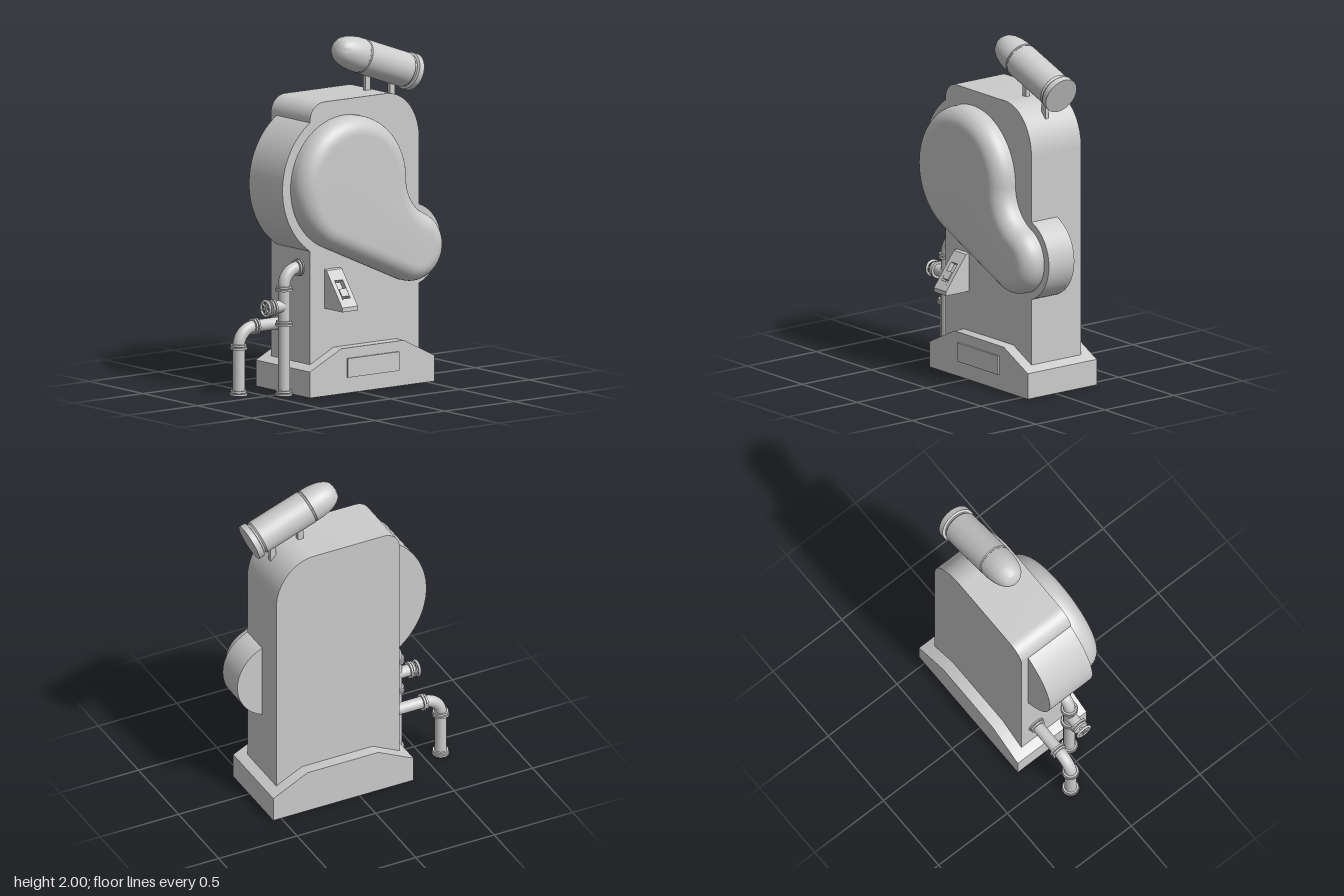
import * as THREE from 'three';
import { toCreasedNormals } from 'three/addons/utils/BufferGeometryUtils.js';

const V = (x, y, z) => new THREE.Vector3(x, y, z);

export function createModel() {
  const model = new THREE.Group();
  const mat = new THREE.MeshStandardMaterial({ color: 0xcccccc, side: THREE.DoubleSide });

  const add = (name, geo, parent = model) => {
    const mesh = new THREE.Mesh(geo, mat);
    mesh.name = name;
    parent.add(mesh);
    return mesh;
  };
  const group = (name, parent = model) => {
    const g = new THREE.Group();
    g.name = name;
    parent.add(g);
    return g;
  };
  const box = (name, x0, x1, y0, y1, z0, z1, parent) =>
    add(name, new THREE.BoxGeometry(x1 - x0, y1 - y0, z1 - z0), parent)
      .position.set((x0 + x1) / 2, (y0 + y1) / 2, (z0 + z1) / 2);

  // Side profile drawn in (-z, y), extruded along x from x0 to x1
  const slab = (name, shape, x0, x1, parent, bevel = 0) => {
    const geo = new THREE.ExtrudeGeometry(shape, {
      depth: x1 - x0 - 2 * bevel, curveSegments: 32, bevelEnabled: bevel > 0,
      bevelThickness: bevel, bevelSize: bevel, bevelOffset: -bevel, bevelSegments: 10,
    });
    geo.translate(0, 0, bevel).rotateY(Math.PI / 2).translate(x0, 0, 0);
    return add(name, toCreasedNormals(geo, 0.6), parent);
  };
  const polygon = (points) => new THREE.Shape(points.map(([z, y]) => new THREE.Vector2(-z, y)));

  // Straight round bar between two points
  const rod = (name, a, b, r, parent, sides = 24) => {
    const dir = b.clone().sub(a);
    const mesh = add(name, new THREE.CylinderGeometry(r, r, dir.length(), sides), parent);
    mesh.position.copy(a).add(b).multiplyScalar(0.5);
    mesh.quaternion.setFromUnitVectors(V(0, 1, 0), dir.normalize());
    return mesh;
  };

  // Base with sloped ends and a side plate
  slab('base', polygon([[0.345, 0], [-0.55, 0], [-0.55, 0.15], [-0.33, 0.26], [0.12, 0.26], [0.345, 0.15]]), -0.3, 0.2);
  box('basePlate', 0.19, 0.21, 0.09, 0.2, -0.29, 0.08);

  // Tall body, small round at the front top and a large one at the back
  const body = new THREE.Shape();
  body.moveTo(-0.29, 0.02);
  body.lineTo(0.495, 0.02);
  body.lineTo(0.495, 1.4);
  body.absellipse(0.255, 1.4, 0.24, 0.28, 0, Math.PI / 2, false);
  body.lineTo(-0.19, 1.68);
  body.absarc(-0.19, 1.58, 0.1, Math.PI / 2, Math.PI, false);
  body.closePath();
  slab('body', body, -0.23, 0.13);

  // Round housings that bulge out of the body behind the cover
  const big = { u: -0.04, y: 1.2, r: 0.39 };
  const small = { u: 0.41, y: 0.79, r: 0.2 };
  rod('frontHousing', V(-0.18, big.y, -big.u), V(0.129, big.y, -big.u), 0.447, model, 96);
  rod('rearHousing', V(-0.055, small.y, -small.u), V(0.129, small.y, -small.u), 0.243, model, 64);

  // Cover outline: two circles joined by a straight tangent and a hollow fillet
  const du = small.u - big.u, dy = small.y - big.y;
  const dist = Math.hypot(du, dy), heading = Math.atan2(dy, du);
  const tangent = heading - Math.acos((big.r - small.r) / dist);
  const fr = 0.25, d1 = big.r + fr, d2 = small.r + fr;
  const toFillet = heading + Math.acos((d1 * d1 + dist * dist - d2 * d2) / (2 * d1 * dist));
  const fu = big.u + d1 * Math.cos(toFillet), fy = big.y + d1 * Math.sin(toFillet);
  const fromSmall = Math.atan2(fy - small.y, fu - small.u);
  const cover = new THREE.Shape();
  cover.absarc(big.u, big.y, big.r, toFillet, tangent + 2 * Math.PI, false);
  cover.absarc(small.u, small.y, small.r, tangent, fromSmall, false);
  cover.absarc(fu, fy, fr, fromSmall + Math.PI, toFillet + Math.PI, true);
  slab('cover', cover, -0.03, 0.26, model, 0.1);

  // Sloped switch box with a recessed slot in its middle slice
  const control = group('switchBox');
  const wedge = (notch) => {
    const s = new THREE.Shape();
    s.moveTo(0.12, 0.49);
    s.lineTo(0.295, 0.49);
    s.lineTo(0.295, 0.515);
    if (notch) {
      s.lineTo(0.262, 0.56);
      s.lineTo(0.238, 0.542);
      s.lineTo(0.167, 0.637);
      s.lineTo(0.191, 0.655);
    }
    s.lineTo(0.15, 0.71);
    s.lineTo(0.12, 0.718);
    s.closePath();
    return s;
  };
  for (const [z0, z1, notch] of [[0.075, 0.103, false], [0.103, 0.16, true], [0.16, 0.187, false]]) {
    const geo = new THREE.ExtrudeGeometry(wedge(notch), { depth: z1 - z0, bevelEnabled: false });
    add('switchBoxSlice', geo.translate(0, 0, z0), control);
  }
  const toggle = add('switchToggle', new THREE.BoxGeometry(0.04, 0.05, 0.05), control);
  toggle.position.set(0.225, 0.58, 0.1315);
  toggle.rotation.z = 0.64;

  // Pipes: vertical leg, elbow, run into the body, and paired-disc flanges
  const R = 0.035;
  const flange = (p, axis, parent) => {
    for (const s of [-1, 1]) {
      const at = (k) => p.clone().addScaledVector(axis, k);
      rod('flangeDisc', at(s * 0.008 - 0.006), at(s * 0.008 + 0.006), 0.05 - (s > 0 ? 0.004 : 0), parent);
    }
  };
  const Y = V(0, 1, 0), Z = V(0, 0, 1);
  const pipe = (name, x, z, y, bend, uprightFlanges, runFlanges) => {
    const g = group(name);
    const path = new THREE.CurvePath();
    path.add(new THREE.LineCurve3(V(x, 0, z), V(x, y - bend, z)));
    rod('pipeLeg', V(x, 0, z), V(x, y - bend, z), R, g);
    // The elbow is a quarter torus from vertical to horizontal
    const elbow = add('pipeElbow', new THREE.TorusGeometry(bend, R, 20, 16, Math.PI / 2), g);
    elbow.rotation.y = -Math.PI / 2;
    elbow.position.set(x, y - bend, z - bend);
    rod('pipeRun', V(x, y, z - bend), V(x, y, 0.27), R, g);
    uprightFlanges.forEach((h) => flange(V(x, h, z), Y, g));
    runFlanges.forEach((d) => flange(V(x, y, d), Z, g));
    return g;
  };
  const tall = pipe('tallPipe', 0.03, 0.4, 0.725, 0.095, [0.014, 0.415, 0.615], [0.3]);
  pipe('shortPipe', -0.125, 0.605, 0.385, 0.105, [0.014, 0.28], [0.3, 0.495]);

  // Valve branch with a spoked hand wheel
  const valve = group('valve', tall);
  const vy = 0.513;
  rod('valveBranch', V(0.03, vy, 0.4), V(0.03, vy, 0.49), R, valve);
  flange(V(0.03, vy, 0.492), Z, valve);
  rod('valveStem', V(0.03, vy, 0.49), V(0.03, vy, 0.54), 0.01, valve);
  add('handWheel', new THREE.TorusGeometry(0.043, 0.008, 10, 32), valve).position.set(0.03, vy, 0.531);
  for (let i = 0; i < 3; i++) {
    const a = (i * Math.PI) / 3 + 0.3, c = 0.042 * Math.cos(a), s = 0.042 * Math.sin(a);
    rod('wheelSpoke', V(0.03 - c, vy - s, 0.531), V(0.03 + c, vy + s, 0.531), 0.006, valve, 8);
  }

  // Tilted capsule with a rear rim and a rounded, blunt nose
  const capsule = group('capsule');
  const profile = [[0, 0], [0.108, 0], [0.108, 0.035], [0.093, 0.04], [0.093, 0.05], [0.101, 0.06],
    [0.101, 0.385], [0.097, 0.39], [0.097, 0.397], [0.1, 0.4], [0.099, 0.44], [0.094, 0.48],
    [0.084, 0.52], [0.07, 0.55], [0.05, 0.572], [0.025, 0.58], [0, 0.582]];
  const shell = new THREE.LatheGeometry(profile.map(([r, h]) => new THREE.Vector2(r, h)), 48);
  add('capsuleShell', toCreasedNormals(shell, 0.6), capsule);
  capsule.position.set(-0.03, 1.748, -0.566);
  capsule.rotation.x = THREE.MathUtils.degToRad(70);

  // Two posts carry the capsule
  box('frontPost', -0.042, -0.018, 1.65, 1.82, -0.26, -0.225);
  box('rearPost', -0.042, -0.018, 1.56, 1.76, -0.435, -0.4);

  return model;
}
